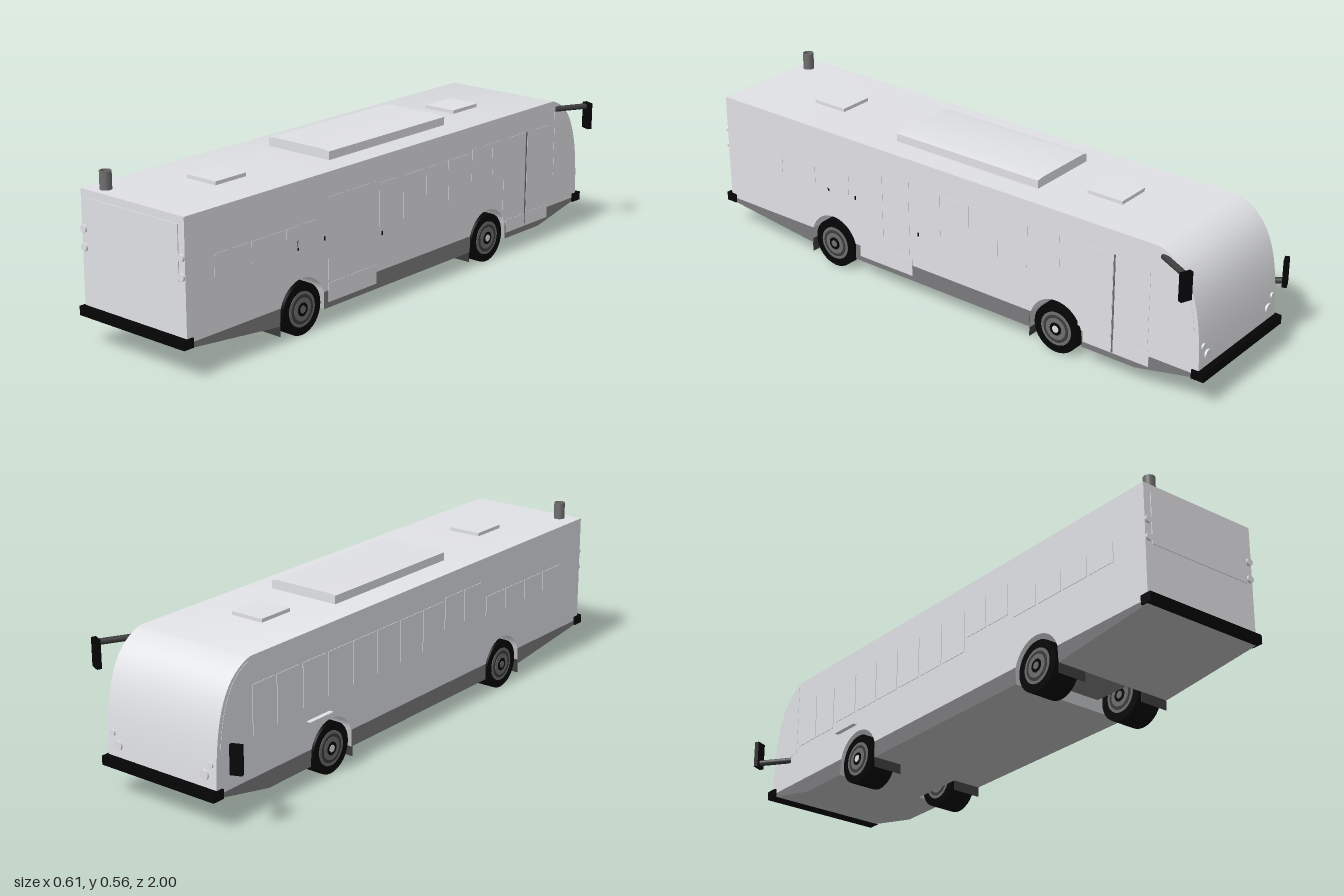
import * as THREE from 'three';
import { toCreasedNormals } from 'three/addons/utils/BufferGeometryUtils.js';

const mat = (name, color) => new THREE.MeshStandardMaterial({ name, color });

export function createModel() {
  const bus = new THREE.Group();
  bus.name = 'bus';
  const paint = mat('light grey paint', 0xe0e1e5);
  const floor = mat('floor grey', 0xb9babc);
  const under = mat('skirt grey', 0x7a7a7c);
  const black = mat('black rubber', 0x050505);
  const dark = mat('dark grey plastic', 0x3c3c3c);
  const metal = mat('grey metal', 0x6e6e6e);

  const X0 = -0.213, X1 = 0.228, CX = (X0 + X1) / 2;
  const axles = [0.49, -0.45], axleY = 0.085, archR = 0.102, sillY = 0.115, low = 0.058;

  const add = (name, geo, material, x = 0, y = 0, z = 0, parent = bus) => {
    const m = new THREE.Mesh(geo, material);
    m.name = name;
    m.position.set(x, y, z);
    parent.add(m);
    return m;
  };
  // box given by its limits on each axis
  const block = (name, material, x0, x1, y0, y1, z0, z1) =>
    add(name, new THREE.BoxGeometry(x1 - x0, y1 - y0, z1 - z0), material,
      (x0 + x1) / 2, (y0 + y1) / 2, (z0 + z1) / 2);
  // side profile (z, y) extruded across the width from x0 to x1
  const across = (name, shape, material, x0, x1) => {
    const g = new THREE.ExtrudeGeometry(shape, { depth: x1 - x0, bevelEnabled: false, curveSegments: 20 });
    g.rotateY(-Math.PI / 2).translate(x1, 0, 0);
    return add(name, toCreasedNormals(g, 0.5), material);
  };
  const poly = pts => new THREE.Shape(pts.map(p => new THREE.Vector2(...p)));

  // main shell: flat back, curved nose, wheel arches cut in the sill
  const a = Math.asin((sillY - axleY) / archR), half = archR * Math.cos(a);
  const shell = new THREE.Shape();
  shell.moveTo(0.982, sillY);
  shell.lineTo(0.982, 0.5);
  shell.lineTo(-0.82, 0.5);
  shell.bezierCurveTo(-0.96, 0.46, -0.975, 0.3, -0.978, sillY);
  for (const z of [...axles].reverse()) {
    shell.lineTo(z - half, sillY);
    shell.absarc(z, axleY, archR, Math.PI - a, a, true);
  }
  shell.closePath();
  across('bodyShell', shell, paint, X0, X1);

  // skirts between the wheels: grey sides, lighter floor underneath
  const skirt = [under, floor];
  across('rearSkirt', poly([[0.98, sillY], [0.98, 0.1], [0.6, low], [0.592, low], [0.588, sillY]]), skirt, X0, X1);
  across('middleSkirt', poly([[0.392, sillY], [0.392, low], [-0.352, low], [-0.352, sillY]]), skirt, X0, X1);
  across('frontSkirt', poly([[-0.548, sillY], [-0.552, low], [-0.75, low], [-0.976, 0.105], [-0.976, sillY]]), skirt, X0, X1);

  // floor between the wheels: flat at the nose axle, a dark recess at the other
  const wellX = [X0 + 0.105, X1 - 0.105];
  block('axleFloor', floor, ...wellX, low, 0.116, axles[1] - 0.11, axles[1] + 0.11);
  block('axleRecess', under, ...wellX, 0.1, 0.116, axles[0] - 0.11, axles[0] + 0.11);
  for (const z of axles) block('wheelWell', paint, ...wellX, 0.116, 0.2, z - 0.11, z + 0.11);

  // bumpers
  block('exhaustEndBumper', black, -0.22, 0.234, 0.1, 0.13, 0.96, 1);
  block('noseBumper', black, -0.22, 0.234, 0.1, 0.13, -1, -0.955);

  // wheels with stepped rims, and mud flaps behind them
  const disc = r => new THREE.CylinderGeometry(r, r, 1, 32).rotateZ(Math.PI / 2);
  for (const z of axles) for (const s of [1, -1]) {
    const wheel = new THREE.Group();
    wheel.name = 'wheel';
    wheel.position.set(CX + s * 0.17, axleY, z);
    bus.add(wheel);
    [['tyre', 0.085, 0.094, black], ['rim', 0.058, 0.097, metal], ['rimGroove', 0.048, 0.099, dark],
      ['rimDish', 0.038, 0.101, metal], ['hubRing', 0.022, 0.103, black],
      ['hubCap', 0.012, 0.106, z < 0 ? paint : metal]]
      .forEach(([name, r, w, m]) => add(name, disc(r), m, 0, 0, 0, wheel).scale.x = w);
    const fx = s > 0 ? [X1 - 0.106, X1] : [X0, X0 + 0.106];
    block('mudFlap', dark, ...fx, 0.024, 0.1, z + 0.101, z + 0.103);
  }

  // thin panels on the sides: windows, doors, sill covers and fittings
  const panel = (name, s, z0, z1, y0, y1, material = paint) => {
    const x = s > 0 ? X1 : X0;
    block(name, material, x - 0.002, x + 0.001, y0, y1, z0, z1).scale.x = s;
  };
  const row = (name, s, z0, z1, n, y0, y1) => {
    const step = (z1 - z0) / n;
    for (let i = 0; i < n; i++) panel(name, s, z0 + i * step + 0.005, z0 + (i + 1) * step - 0.005, y0, y1);
  };
  row('sideWindow', 1, -0.34, 0.13, 4, 0.265, 0.41);
  row('tallWindow', 1, -0.58, -0.35, 2, 0.31, 0.42);
  row('rearVent', 1, 0.41, 0.87, 3, 0.29, 0.36);
  row('rearDoor', 1, 0.145, 0.375, 2, 0.15, 0.42);
  row('frontDoor', 1, -0.8, -0.53, 2, 0.13, 0.42);
  panel('frontDoorGap', 1, -0.668, -0.662, 0.08, 0.42, metal);
  panel('rearDoorSill', 1, 0.14, 0.37, 0.076, 0.14);
  panel('frontDoorSill', 1, -0.8, -0.555, 0.078, 0.125);
  for (const [z, y, h] of [[0.508, 0.297, 0.034], [0.387, 0.29, 0.014], [0.112, 0.24, 0.014]])
    panel('latch', 1, z - 0.003, z + 0.003, y - h / 2, y + h / 2, black);
  row('driverWindow', -1, -0.82, -0.6, 2, 0.25, 0.41);
  row('sideWindow', -1, -0.59, 0.14, 6, 0.265, 0.41);
  row('tallWindow', -1, 0.14, 0.36, 2, 0.31, 0.42);
  row('rearVent', -1, 0.38, 0.85, 4, 0.29, 0.36);
  block('sideLedge', paint, -0.229, X0, 0.213, 0.215, -0.57, -0.46);

  // quarter windows that follow the nose curve
  const quarter = new THREE.Shape();
  quarter.moveTo(-0.832, 0.23);
  quarter.lineTo(-0.832, 0.485);
  quarter.bezierCurveTo(-0.92, 0.46, -0.952, 0.34, -0.958, 0.23);
  quarter.closePath();
  for (const x of [X0, X1]) across('quarterWindow', quarter, paint, x - 0.001, x + 0.001);

  // flat end: window and lamps
  block('endWindow', paint, -0.187, 0.203, 0.3, 0.475, 0.98, 0.985);
  const lamp = (name, r, x, y, z) => add(name, new THREE.CylinderGeometry(r, r, 0.014, 24).rotateX(Math.PI / 2), paint, x, y, z);
  for (const s of [1, -1]) {
    for (const y of [0.317, 0.376]) lamp('tailLamp', 0.012, CX + s * 0.2085, y, 0.983);
    lamp('headlamp', 0.016, CX + s * 0.175, 0.17, -0.976);
    lamp('indicator', 0.01, CX + s * 0.198, 0.205, -0.974);
  }

  // roof unit with a low crown, hatches and exhaust
  const crown = poly([[-0.117, 0.498], [0.142, 0.498], [0.142, 0.528], [0.118, 0.532], [-0.093, 0.532], [-0.117, 0.528]]);
  add('roofUnit', toCreasedNormals(new THREE.ExtrudeGeometry(crown, { depth: 0.58, bevelEnabled: false }), 0.5), paint, 0, 0, -0.31);
  for (const z of [-0.515, 0.635]) block('roofHatch', paint, -0.05, 0.072, 0.498, 0.512, z - 0.066, z + 0.066);
  const pipe = [[0.019, 0], [0.019, 0.06], [0.015, 0.06], [0.015, 0.045], [0, 0.045]].map(q => new THREE.Vector2(...q));
  add('exhaustPipe', toCreasedNormals(new THREE.LatheGeometry(pipe, 24), 0.5), metal, -0.147, 0.498, 0.94);

  // mirrors: round arm and upright head
  const mirror = (from, to, y0, y1, turn) => {
    const A = new THREE.Vector3(...from), B = new THREE.Vector3(...to);
    add('mirrorArm', new THREE.TubeGeometry(new THREE.LineCurve3(A, B), 1, 0.01, 16), dark);
    const head = add('mirrorHead', new THREE.BoxGeometry(0.038, y1 - y0, 0.016), black, B.x, (y0 + y1) / 2, B.z);
    head.rotation.y = turn;
  };
  mirror([0.224, 0.469, -0.835], [0.285, 0.469, -0.952], 0.388, 0.481, -0.4);
  mirror([-0.209, 0.215, -0.87], [-0.285, 0.215, -0.968], 0.198, 0.292, 0.4);

  return bus;
}
